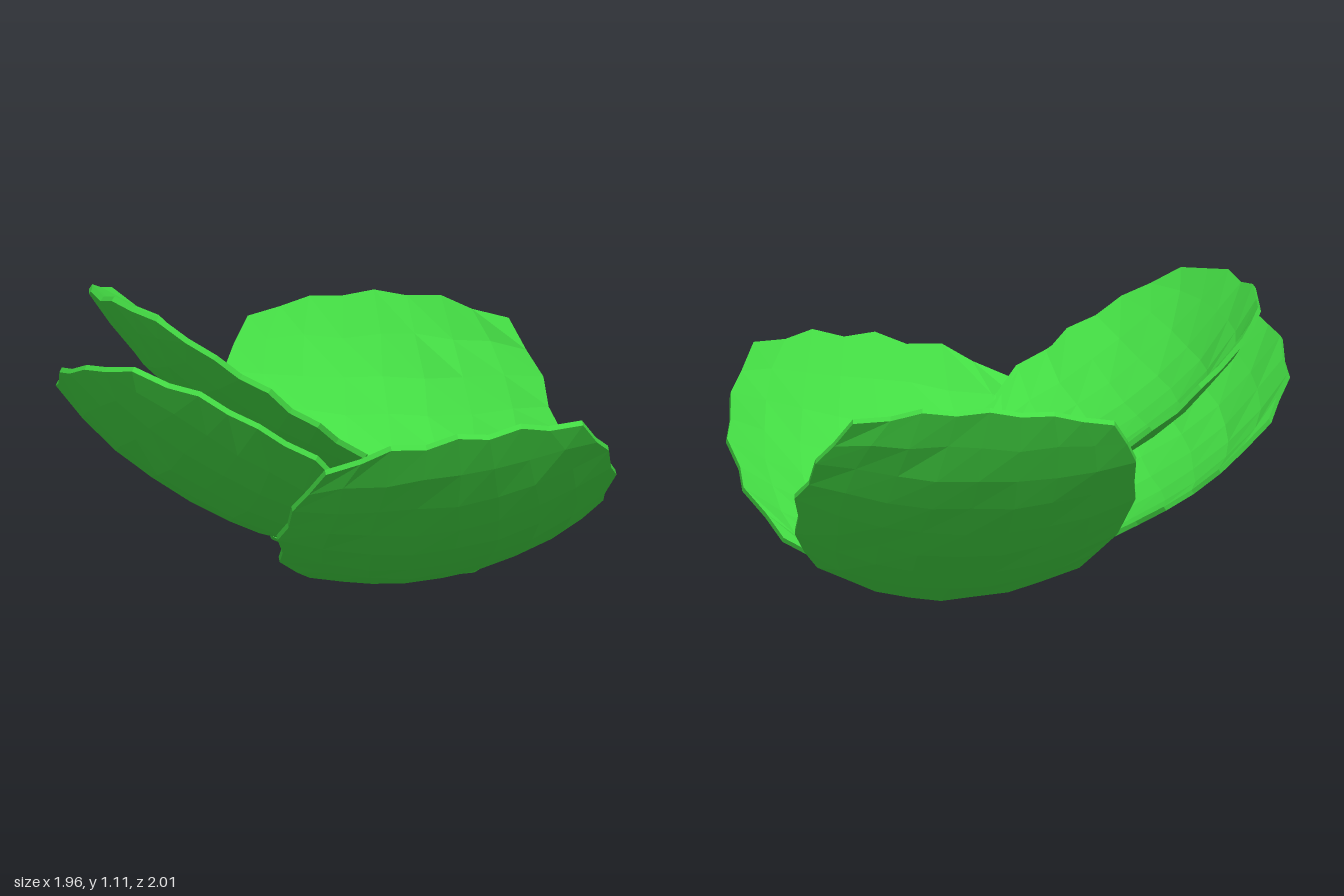
import * as THREE from 'three';

const N = 8; // grid cells across a leaf
const THICK = 0.02;

function seeded(seed) {
  let s = seed;
  return () => (s = (s * 16807) % 2147483647) / 2147483647;
}

// Cupped leaf: centre of the rim, half axes along and across, cup depths.
// round: 0.5 gives an elliptic outline, less gives a squarer one.
function leafGeometry({ center, along, across, depthAlong, depthAcross, round, seed }) {
  const rnd = seeded(seed);
  const c = new THREE.Vector3(...center);
  const u = new THREE.Vector3(...along);
  const v = new THREE.Vector3(...across);
  const n = u.clone().cross(v).normalize();
  const M = N + 1, pos = [], idx = [];

  const inner = [], outer = [];
  for (let j = 0; j < M; j++) {
    for (let i = 0; i < M; i++) {
      // square grid eased onto a rounded outline
      const p = (i / N) * 2 - 1, q = (j / N) * 2 - 1;
      let a = p * Math.sqrt(1 - q * q * round), b = q * Math.sqrt(1 - p * p * round);
      const rim = i === 0 || j === 0 || i === N || j === N;
      // uneven toothed rim, slightly bumpy middle
      const k = rim ? ((i + j) % 2 ? 0.98 : 1.01) + (rnd() - 0.5) * 0.03 : 1;
      a = a * k + (rim ? 0 : (rnd() - 0.5) * 0.03);
      b = b * k + (rim ? 0 : (rnd() - 0.5) * 0.03);
      const h = depthAlong * (a * a - 1) + depthAcross * b * b + (rnd() - 0.5) * 0.01;
      const pt = c.clone().addScaledVector(u, a).addScaledVector(v, b).addScaledVector(n, h);
      inner.push(pt);
      outer.push(pt.clone().addScaledVector(n, -THICK));
    }
  }
  for (const pt of [...inner, ...outer]) pos.push(pt.x, pt.y, pt.z);

  // inner and outer skins
  const O = M * M;
  for (let j = 0; j < N; j++) {
    for (let i = 0; i < N; i++) {
      const A = j * M + i, B = A + 1, C = A + M + 1, D = A + M;
      idx.push(A, B, C, A, C, D);
      idx.push(O + A, O + C, O + B, O + A, O + D, O + C);
    }
  }
  // rim strip
  const edge = (A, B) => idx.push(A, O + A, O + B, A, O + B, B);
  for (let i = 0; i < N; i++) {
    edge(i, i + 1);
    edge(i * M + N, (i + 1) * M + N);
    edge(N * M + i + 1, N * M + i);
    edge((i + 1) * M, i * M);
  }
  const g = new THREE.BufferGeometry();
  g.setAttribute('position', new THREE.Float32BufferAttribute(pos, 3));
  g.setIndex(idx);
  const flat = g.toNonIndexed();
  flat.computeVertexNormals();
  return flat;
}

export function createModel() {
  const group = new THREE.Group();
  group.name = 'leafRosette';
  const material = new THREE.MeshStandardMaterial({ color: 0x44dd44, flatShading: true });

  const leaves = [
    { name: 'frontLeaf', center: [0.37, 0.39, 0.45], along: [-0.02, 0.35, 0.53], across: [0.6, 0.1, 0],
      depthAlong: 0.16, depthAcross: 0.16, round: 0.42, seed: 11 },
    { name: 'backLeaf', center: [0.29, 0.45, -0.54], along: [-0.01, 0.43, -0.44], across: [-0.59, 0, -0.11],
      depthAlong: 0.12, depthAcross: 0.15, round: 0.4, seed: 29 },
    { name: 'lowerRightLeaf', center: [-0.42, 0.53, 0.23], along: [-0.55, 0.32, -0.06], across: [0.06, 0.2, 0.6],
      depthAlong: 0.15, depthAcross: 0.2, round: 0.46, seed: 47 },
    { name: 'upperRightLeaf', center: [-0.33, 0.75, -0.08], along: [-0.5, 0.35, 0.01], across: [0.04, 0.05, 0.61],
      depthAlong: 0.14, depthAcross: 0.18, round: 0.46, seed: 83 },
  ];
  for (const leaf of leaves) {
    const mesh = new THREE.Mesh(leafGeometry(leaf), material);
    mesh.name = leaf.name;
    group.add(mesh);
  }
  return group;
}
